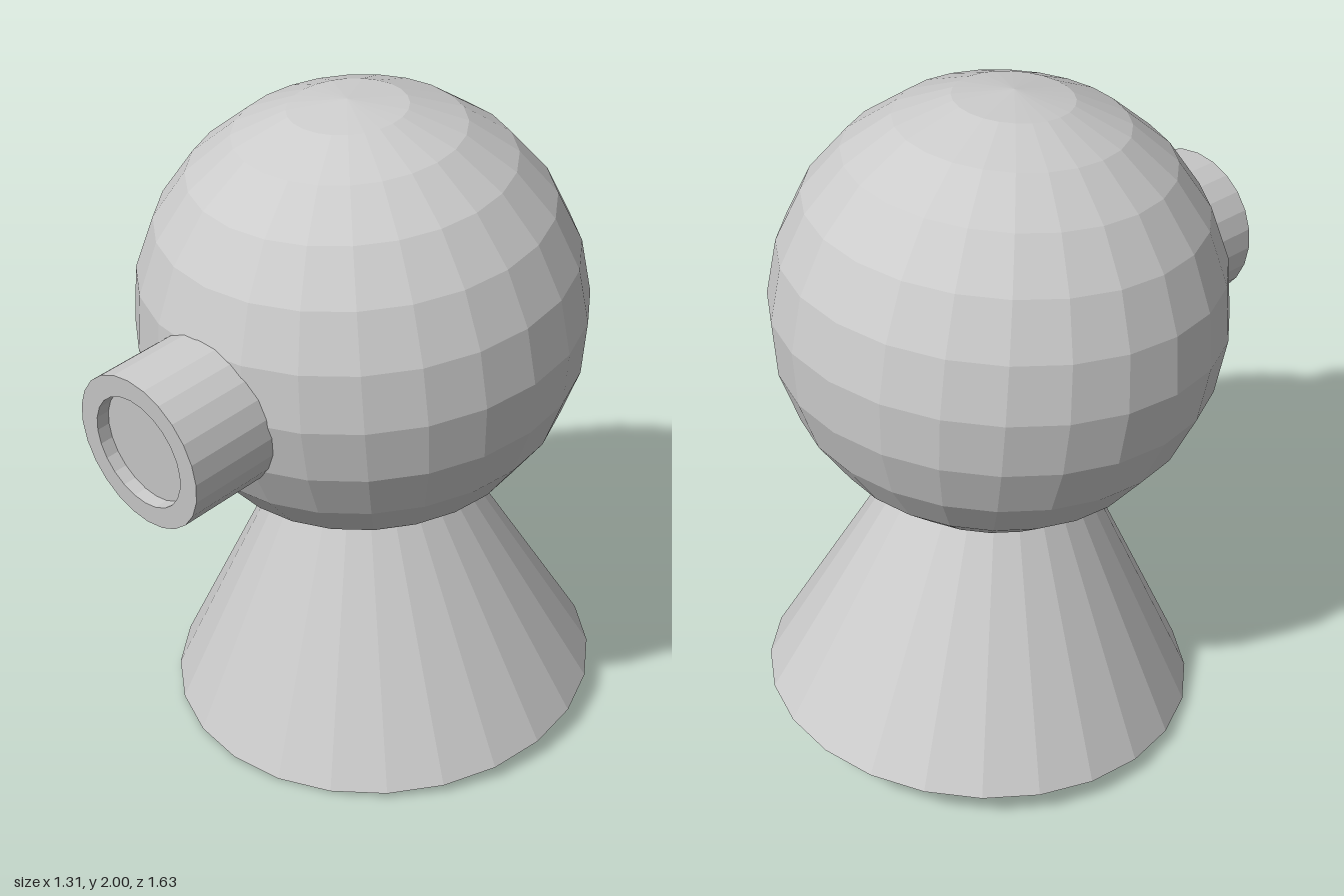
import * as THREE from 'three';

export function createModel() {
  const model = new THREE.Group();
  const material = new THREE.MeshStandardMaterial({ color: 0xcccccc, flatShading: true });
  const SIDES = 24;

  // The whole figure leans slightly forward
  const figure = new THREE.Group();
  figure.name = 'figure';
  figure.position.set(0, 0.06, -0.165);
  figure.rotation.x = 0.093;
  model.add(figure);

  const addPart = (name, geometry, x, y, z) => {
    const mesh = new THREE.Mesh(geometry, material);
    mesh.name = name;
    mesh.position.set(x, y, z);
    figure.add(mesh);
  };

  // Conical body, its tip hidden inside the head
  const height = 1.25;
  addPart('body', new THREE.ConeGeometry(0.65, height, SIDES), 0.003, height / 2, 0);

  // Round head
  addPart('head', new THREE.SphereGeometry(0.656, SIDES, 12), 0, 1.292, -0.02);

  // Snout: tube with a shallow recess in its front face
  const profile = [[0.231, 0.4], [0.231, 0.852], [0.167, 0.852], [0.167, 0.812], [0, 0.812]]
    .map(([r, z]) => new THREE.Vector2(r, z));
  const snout = new THREE.LatheGeometry(profile, SIDES).rotateX(Math.PI / 2);
  addPart('snout', snout, 0.013, 1.255, 0);

  return model;
}
